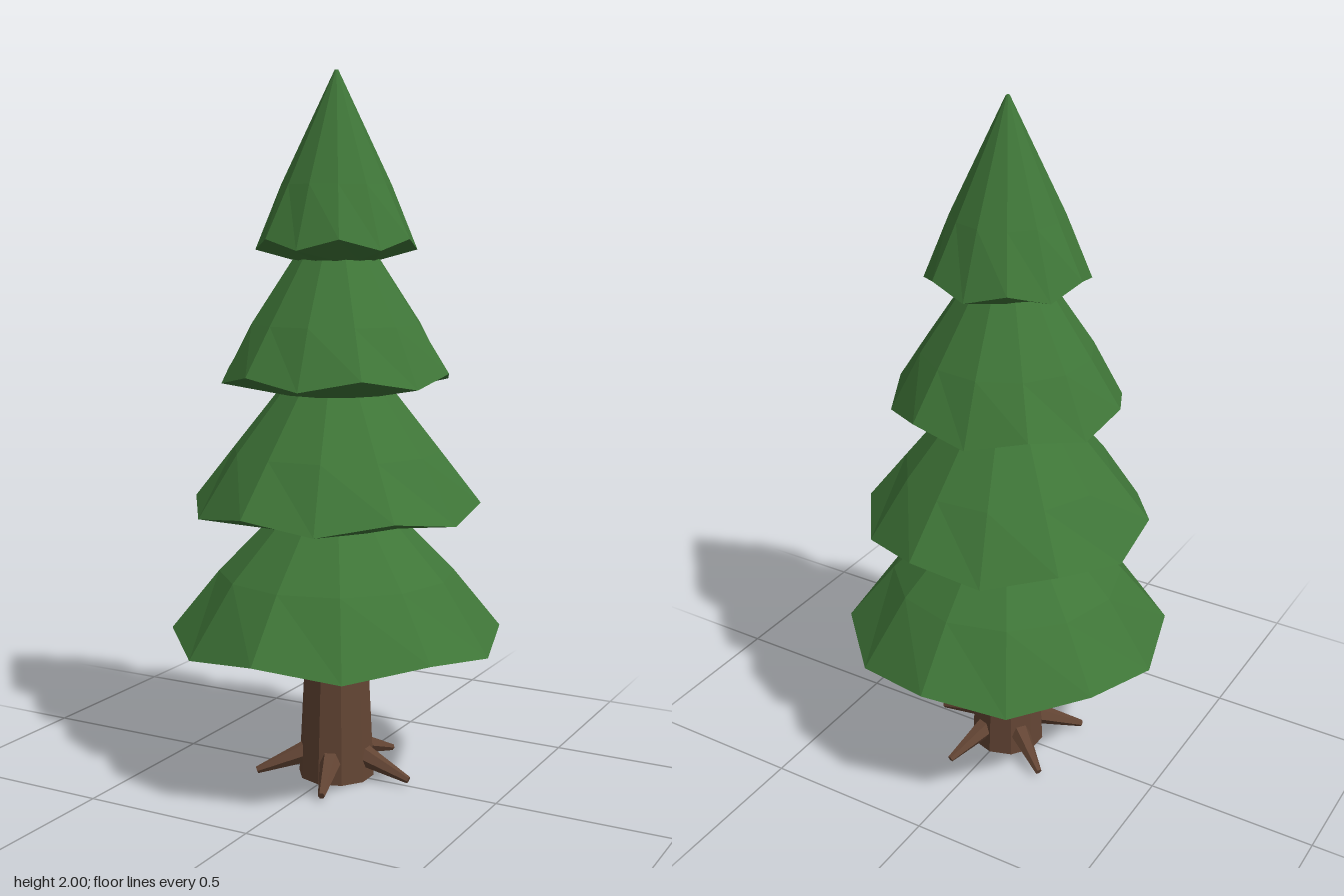
import * as THREE from 'three';

const needleGreen = new THREE.MeshStandardMaterial({ color: 0x3f7638 });
needleGreen.name = 'needle green';
const barkBrown = new THREE.MeshStandardMaterial({ color: 0x634534 });
barkBrown.name = 'bark brown';

// Faceted mesh: unshared vertices give one normal per face
function facetedMesh(name, geometry, material) {
  const flat = geometry.toNonIndexed();
  flat.computeVertexNormals();
  const mesh = new THREE.Mesh(flat, material);
  mesh.name = name;
  return mesh;
}

// One skirt of branches: 12 sides, with a rim that zigzags up and down
function foliageTier({ rim, bottom, shoulder, tip }, index) {
  const profile = [
    [0, bottom], [rim * 0.53, bottom], [rim, bottom + 0.044], shoulder, tip, [0, tip[1]],
  ].map(([r, y]) => new THREE.Vector2(r, y));
  const sides = 12;
  const geometry = new THREE.LatheGeometry(
    profile, sides, THREE.MathUtils.degToRad(-10 * index), Math.PI * 2);
  const position = geometry.attributes.position;
  for (let i = 0; i <= sides; i++) {
    const v = i * profile.length + 2;
    position.setY(v, position.getY(v) + (i % 2 === 0 ? 0.015 : -0.015));
  }
  return facetedMesh(`foliageTier${index + 1}`, geometry, needleGreen);
}

// Tapered root pointing outward and down from the trunk
function root(angle, index) {
  const start = new THREE.Vector3(0.06, 0.078, 0);
  const end = new THREE.Vector3(0.232, 0.018, 0);
  const direction = end.clone().sub(start);
  const geometry = new THREE.CylinderGeometry(0.01, 0.036, direction.length(), 6);
  const mesh = facetedMesh(`root${index + 1}`, geometry, barkBrown);
  mesh.position.copy(start).lerp(end, 0.5);
  mesh.quaternion.setFromUnitVectors(new THREE.Vector3(0, 1, 0), direction.normalize());
  const pivot = new THREE.Group();
  pivot.rotation.y = angle;
  pivot.add(mesh);
  return pivot;
}

export function createModel() {
  const tree = new THREE.Group();
  tree.name = 'pineTree';

  // Trunk
  const trunk = facetedMesh('trunk', new THREE.CylinderGeometry(0.088, 0.11, 0.44, 10), barkBrown);
  trunk.position.y = 0.22;
  tree.add(trunk);

  // Roots
  const roots = new THREE.Group();
  roots.name = 'roots';
  for (let i = 0; i < 5; i++) roots.add(root((i * Math.PI * 2) / 5, i));
  tree.add(roots);

  // Foliage, from the ground up
  const tiers = [
    { rim: 0.47, bottom: 0.38, shoulder: [0.335, 0.605], tip: [0.1, 0.845] },
    { rim: 0.408, bottom: 0.752, shoulder: [0.295, 0.955], tip: [0.085, 1.22] },
    { rim: 0.325, bottom: 1.118, shoulder: [0.24, 1.31], tip: [0.065, 1.575] },
    { rim: 0.225, bottom: 1.484, shoulder: [0.153, 1.69], tip: [0.005, 2] },
  ];
  const foliage = new THREE.Group();
  foliage.name = 'foliage';
  tiers.forEach((tier, i) => foliage.add(foliageTier(tier, i)));
  tree.add(foliage);

  return tree;
}
